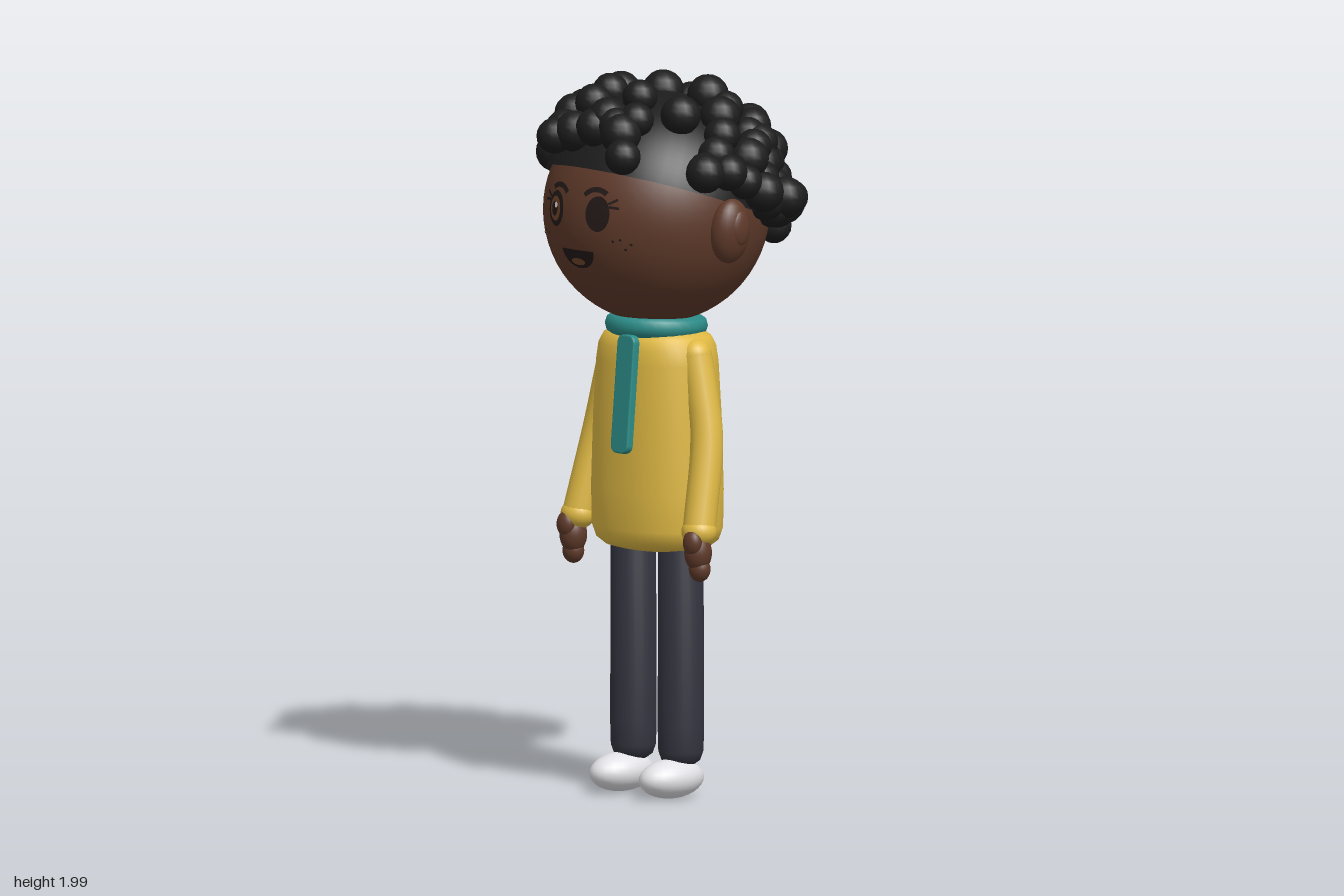
import * as THREE from 'three';
import { mergeGeometries, mergeVertices } from 'three/addons/utils/BufferGeometryUtils.js';

const HEAD = new THREE.Vector3(0, 1.615, 0.04), HEAD_R = 0.31;
const TILT = 0.33; // backward lean of the hair

function mat(name, color, side = THREE.FrontSide) {
  const m = new THREE.MeshStandardMaterial({ color, side });
  m.name = name;
  return m;
}

function add(parent, name, geometry, material, pos = [0, 0, 0], scale = [1, 1, 1]) {
  const mesh = new THREE.Mesh(geometry, material);
  mesh.name = name;
  mesh.position.set(...pos);
  mesh.scale.set(...scale);
  parent.add(mesh);
  return mesh;
}

const ball = () => new THREE.SphereGeometry(1, 24, 16);

function lathe(points, segments = 32) {
  return new THREE.LatheGeometry(points.map(p => new THREE.Vector2(...p)), segments);
}

// Presses a flat outline onto the front of the head
function onFace(geometry, x, y, lift) {
  geometry.translate(x, y, 0);
  const p = geometry.attributes.position, r = HEAD_R + lift;
  for (let i = 0; i < p.count; i++) {
    const dx = p.getX(i), dy = p.getY(i) - HEAD.y;
    p.setZ(i, HEAD.z + Math.sqrt(r * r - dx * dx - dy * dy));
  }
  geometry.computeVertexNormals();
  return geometry;
}

const oval = (rx, ry) => new THREE.CircleGeometry(1, 28).scale(rx, ry, 1);

function buildHair(hair) {
  const g = new THREE.Group();
  g.name = 'hair';
  const cap = add(g, 'hairCap', new THREE.SphereGeometry(0.325, 48, 24, 0, Math.PI * 2, 0, 1.438), hair, HEAD.toArray());
  cap.rotation.x = -TILT;

  // Curls over the crown: x, z in hundredths
  const crown = [
    -17, 19, -9, 19, -12, 27, -11, 32, -6, 29, 5, 15, 3, 25, 11, 22, 10, 27, 15, 31, 18, 12, 7, 26,
    30, 14, 32, 16, 34, 9, 34, -4, 33, 2, 31, -15, 27, -21, 11, -5, 17, -6, 21, 0, 26, 4,
    15, -17, 18, -15, 24, -12, 18, -21, 27, -7, 0, -25, 8, -29, 3, -32, 9, -32, 15, -30, 17, -27,
    -7, -29, -10, -30, -8, -23, -16, -28, -22, -26, -20, -20, -13, -19, -8, -17, -14, -14, -11, -9,
    -25, -19, -28, -19, -28, -14, -25, -8, -33, -5, -21, -1, -16, 2, -14, 8, -28, 6, -34, 6, -31, 12, -18, 5,
    30, -2, -30, 0, -28, 10, 29, 9, 1, 28, -22, 10];
  const curls = [];
  const curl = (x, y, z, r) => curls.push(new THREE.SphereGeometry(r, 14, 10).translate(x, y, z));
  for (let i = 0; i < crown.length; i += 2) {
    const x = crown[i] / 100, z = crown[i + 1] / 100, dz = z - HEAD.z;
    const dome = HEAD.y + Math.sqrt(Math.max(0, 0.348 ** 2 - x * x - dz * dz));
    const hairline = 1.66 + dz * Math.tan(TILT);
    curl(x, Math.max(dome, hairline + 0.06 + 0.02 * Math.sin(i * 2.3)), z, 0.053 + 0.005 * Math.sin(i * 1.7));
  }

  // Dense rows of curls down the back
  const axis = new THREE.Vector3(1, 0, 0);
  [48, 60, 71, 82].forEach((theta, row) => {
    const n = 9 + row;
    for (let i = 0; i < n; i++) {
      const t = (i + 0.5) / n * 2 - 1 + 0.05 * Math.sin(i * 5.1 + row * 2.3);
      const polar = THREE.MathUtils.degToRad(theta - 8 * t * t + 3 * Math.sin(i * 3.7 + row));
      const v = new THREE.Vector3().setFromSphericalCoords(0.33, polar, Math.PI + t * 1.4);
      v.applyAxisAngle(axis, -TILT).add(HEAD);
      curl(v.x, v.y, v.z, 0.052 + 0.005 * Math.sin(i * 2.9 + row));
    }
  });
  add(g, 'curls', mergeGeometries(curls), hair);
  return g;
}

function buildFace(ink, brown, white) {
  const g = new THREE.Group();
  g.name = 'face';
  const put = (name, geo, m, x, y, lift = 0.004) => add(g, name, onFace(geo, x, y, lift), m);
  for (const s of [-1, 1]) {
    put('eye', oval(0.037, 0.049), ink, s * 0.081, 1.64);
    put('eyebrow', new THREE.RingGeometry(0.042, 0.056, 16, 1, 0.8, 1.55).rotateZ(s * 0.1), ink, s * 0.072, 1.657);
    for (let i = 0; i < 2; i++) {
      const lash = new THREE.PlaneGeometry(0.028, 0.007).rotateZ(s * (-0.1 + i * 0.6));
      put('eyelash', lash, ink, s * (0.128 - i * 0.004), 1.66 + i * 0.016);
    }
    for (const [x, y] of [[0.125, 1.567], [0.155, 1.545], [0.145, 1.572], [0.17, 1.56]])
      put('freckle', oval(0.0035, 0.0035), ink, s * x, y);
  }
  // Open eye
  put('iris', oval(0.025, 0.034), brown, -0.081, 1.64, 0.006);
  put('pupil', oval(0.014, 0.02), ink, -0.081, 1.64, 0.008);
  put('eyeGlint', oval(0.007, 0.008), white, -0.073, 1.651, 0.0095);
  // Smiling mouth
  put('mouth', new THREE.CircleGeometry(1, 28, Math.PI, Math.PI).scale(0.061, 0.052, 1), ink, 0, 1.533);
  put('tongue', oval(0.026, 0.01), brown, 0, 1.5, 0.0065);
  return g;
}

// Torso: rounded profile with slightly squarish oval cross-sections
function torsoGeometry() {
  let geo = lathe([[0, 0.682], [0.12, 0.684], [0.155, 0.692], [0.18, 0.71], [0.193, 0.745], [0.195, 0.85],
    [0.189, 1.05], [0.18, 1.2], [0.173, 1.245], [0.158, 1.272], [0.13, 1.288], [0, 1.295]], 48);
  const p = geo.attributes.position;
  for (let i = 0; i < p.count; i++) {
    const x = p.getX(i), z = p.getZ(i), r = Math.hypot(x, z);
    if (r < 1e-6) continue;
    const c = Math.abs(x / r), s = Math.abs(z / r), k = (c ** 2.3 + s ** 2.3) ** (-1 / 2.3);
    p.setXYZ(i, x * k, p.getY(i), z * k * 0.78);
  }
  geo.deleteAttribute('uv');
  geo.deleteAttribute('normal');
  geo = mergeVertices(geo, 1e-5);
  geo.computeVertexNormals();
  return geo;
}

// Hanging scarf end: a strip with rounded corners and a soft edge
function scarfTailGeometry() {
  const w = 0.029, h = 0.158, r = 0.018, shape = new THREE.Shape();
  shape.absarc(w - r, h - r, r, 0, Math.PI / 2);
  shape.absarc(r - w, h - r, r, Math.PI / 2, Math.PI);
  shape.absarc(r - w, r - h, r, Math.PI, Math.PI * 1.5);
  shape.absarc(w - r, r - h, r, Math.PI * 1.5, Math.PI * 2);
  return new THREE.ExtrudeGeometry(shape, {
    depth: 0.014, bevelSize: 0.005, bevelThickness: 0.005, bevelSegments: 3, curveSegments: 8,
  }).translate(0, 0, -0.007);
}

function buildArm(s, yellow, skin) {
  const g = new THREE.Group();
  g.name = s > 0 ? 'leftArm' : 'rightArm';
  const path = [[0.157, 1.228, 0.042], [0.185, 1.12, 0.044], [0.212, 1, 0.052], [0.238, 0.765, 0.105]]
    .map(p => new THREE.Vector3(s * p[0], p[1], p[2]));
  add(g, 'sleeve', new THREE.TubeGeometry(new THREE.CatmullRomCurve3(path), 24, 0.045, 18), yellow);
  add(g, 'shoulder', ball(), yellow, path[0].toArray(), [0.045, 0.045, 0.045]);
  add(g, 'cuff', ball(), yellow, [s * 0.239, 0.757, 0.107], [0.049, 0.042, 0.048]);
  add(g, 'palm', ball(), skin, [s * 0.247, 0.7, 0.118], [0.037, 0.052, 0.039]);
  add(g, 'thumb', ball(), skin, [s * 0.25, 0.73, 0.142], [0.029, 0.036, 0.024]);
  add(g, 'fingers', ball(), skin, [s * 0.25, 0.655, 0.115], [0.031, 0.035, 0.029]);
  return g;
}

export function createModel() {
  const model = new THREE.Group();
  model.name = 'figure';
  const skin = mat('skin', 0x5f3a2a), hair = mat('hair', 0x1c1c1c, THREE.DoubleSide);
  const yellow = mat('sweaterYellow', 0xdfb944), teal = mat('scarfTeal', 0x2c8c88);
  const navy = mat('trouserNavy', 0x343440), white = mat('shoeWhite', 0xe2e2e6);
  const ink = mat('faceInk', 0x231a18), brown = mat('irisBrown', 0x70452a);

  // Head
  add(model, 'head', new THREE.SphereGeometry(HEAD_R, 48, 32), skin, HEAD.toArray());
  model.add(buildHair(hair), buildFace(ink, brown, white));

  // Torso and scarf
  add(model, 'sweater', torsoGeometry(), yellow, [0, 0, 0.036]);
  const collar = lathe([[0.08, -0.027], [0.122, -0.027], [0.136, -0.018], [0.141, 0], [0.136, 0.018],
    [0.122, 0.027], [0.08, 0.027]]);
  add(model, 'scarfCollar', collar, teal, [0, 1.299, 0.04]).rotation.x = -0.04;
  add(model, 'scarfTail', scarfTailGeometry(), teal, [0.067, 1.13, 0.222]).rotation.x = -0.09;

  for (const s of [-1, 1]) {
    const side = s > 0 ? 'left' : 'right';
    // Ears with a small inner fold
    add(model, side + 'Ear', ball(), skin, [s * 0.313, 1.59, 0.06], [0.045, 0.09, 0.063]).rotation.z = -s * 0.08;
    add(model, side + 'EarFold', ball(), skin, [s * 0.345, 1.6, 0.055], [0.018, 0.05, 0.034]);
    model.add(buildArm(s, yellow, skin));
    // Trouser leg with softened ends
    const leg = lathe([[0, 0.09], [0.035, 0.092], [0.053, 0.105], [0.062, 0.13], [0.064, 0.2], [0.062, 0.72], [0, 0.72]], 28);
    add(model, side + 'Leg', leg, navy, [s * 0.094, 0, 0.037]);
    add(model, side + 'Shoe', ball(), white, [s * 0.098, 0.057, 0.077], [0.066, 0.054, 0.106]);
  }
  return model;
}
